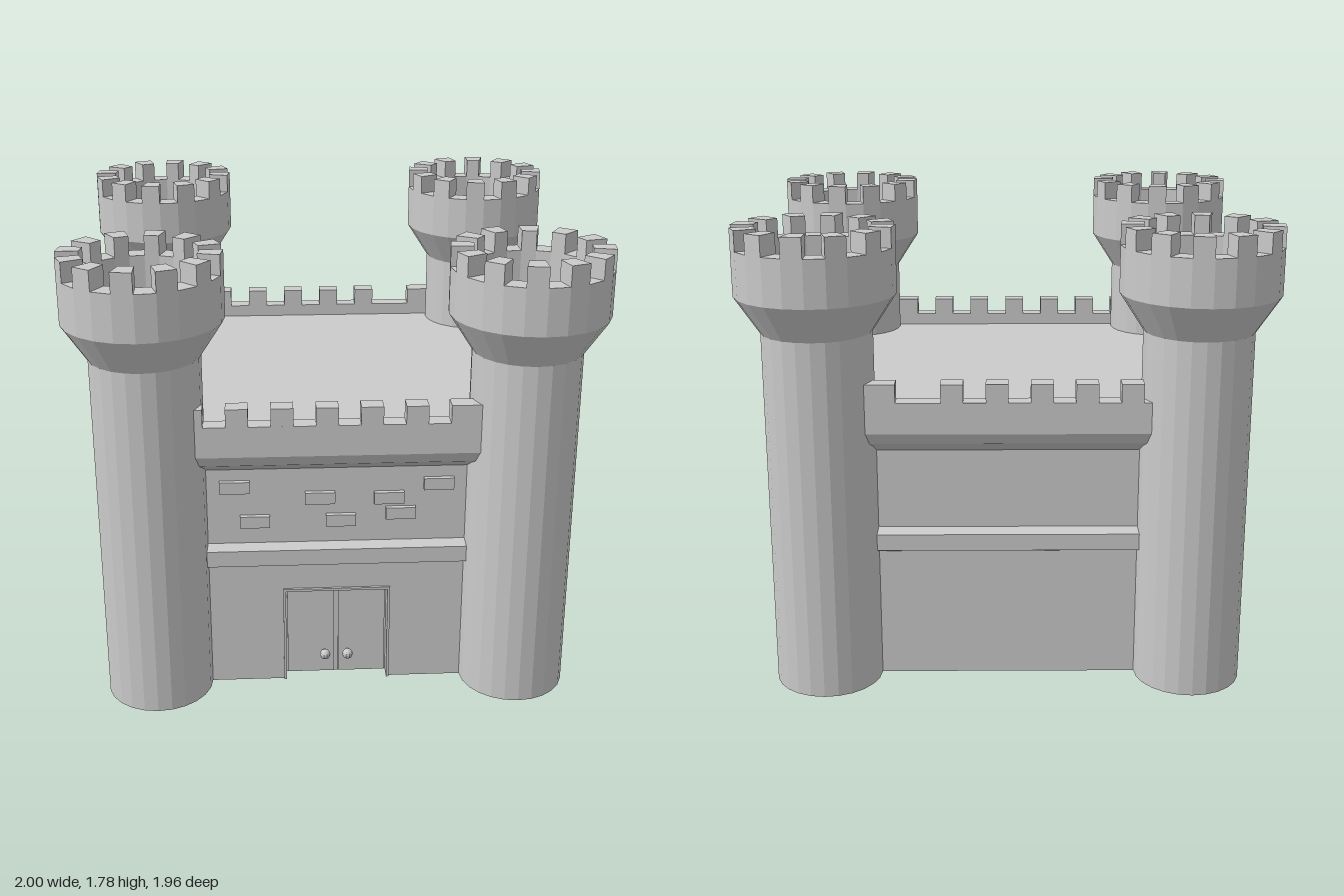
import * as THREE from 'three';

const mat = new THREE.MeshStandardMaterial({ color: 0xcccccc, flatShading: true, side: THREE.DoubleSide });
const HX = 0.715, HZ = 0.685;       // half size of the wall rectangle
const TX = 0.703, TZ = 0.685;       // tower centres
const SIDES = 24;                   // tower facets
const ROOF = 1.09;

function add(parent, name, geometry, x = 0, y = 0, z = 0) {
  const mesh = new THREE.Mesh(geometry, mat);
  mesh.name = name;
  mesh.position.set(x, y, z);
  parent.add(mesh);
  return mesh;
}

// Sweeps a profile of [outward offset, height] around the wall rectangle
function rectangularSweep(profile) {
  const corners = [[1, 1], [1, -1], [-1, -1], [-1, 1]];
  const point = (k, [o, y]) => {
    const [sx, sz] = corners[k % 4];
    return [sx * (HX + o), y, sz * (HZ + o)];
  };
  const pos = [];
  for (let j = 0; j < profile.length - 1; j++) {
    for (let k = 0; k < 4; k++) {
      const a = point(k, profile[j]), b = point(k + 1, profile[j]);
      const c = point(k + 1, profile[j + 1]), d = point(k, profile[j + 1]);
      pos.push(...a, ...b, ...c, ...a, ...c, ...d);
    }
  }
  const g = new THREE.BufferGeometry();
  g.setAttribute('position', new THREE.Float32BufferAttribute(pos, 3));
  g.computeVertexNormals();
  return g;
}

function polygon(points) {
  return new THREE.Shape(points.map(([x, y]) => new THREE.Vector2(x, y)));
}

function buildWalls(castle) {
  // Lower walls, the front one notched for the doorway
  const h = 0.515;
  const front = polygon([[-HX, 0], [-0.21, 0], [-0.21, 0.41], [0.21, 0.41], [0.21, 0], [HX, 0], [HX, h], [-HX, h]]);
  add(castle, 'frontWall', new THREE.ShapeGeometry(front), 0, 0, HZ);
  add(castle, 'backWall', new THREE.PlaneGeometry(2 * HX, h), 0, h / 2, -HZ).rotation.y = Math.PI;
  for (const s of [1, -1]) {
    add(castle, 'sideWall', new THREE.PlaneGeometry(2 * HZ, h), s * HX, h / 2, 0).rotation.y = s * Math.PI / 2;
  }
  // String course, upper walls and flared parapet
  add(castle, 'upperWallAndParapet', rectangularSweep([
    [0, 0.515], [0.035, 0.53], [0.035, 0.595], [0, 0.615], [0, 0.925],
    [0.08, 0.975], [0.107, 1.02], [0.107, 1.14], [0.037, 1.14], [0.037, ROOF],
  ]));
  add(castle, 'roof', new THREE.PlaneGeometry(2 * HX + 0.074, 2 * HZ + 0.074), 0, ROOF, 0).rotation.x = -Math.PI / 2;
}

function buildBattlements(castle) {
  const y = 1.175, height = 0.07, thick = 0.07, o = 0.072;
  const along = (x0, x1, z) => add(castle, 'wallMerlon',
    new THREE.BoxGeometry(x1 - x0, height, thick), (x0 + x1) / 2, y, z);
  const across = (z0, z1, x) => add(castle, 'wallMerlon',
    new THREE.BoxGeometry(thick, height, z1 - z0), x, y, (z0 + z1) / 2);
  const w = 0.083;
  for (let i = -5; i <= 3; i += 2) {
    along(i * w, (i + 1) * w, HZ + o);              // front
    along((i - 1) * w, i * w, -HZ - o);             // back, staggered
  }
  along(5 * w, 0.6, HZ + o);
  along(5 * w, 0.6, -HZ - o);
  along(-0.6, -6 * w, HZ + o);
  for (let i = -2; i <= 2; i++) across(i * 0.159 - 0.04, i * 0.159 + 0.04, HX + o);
  for (const c of [-0.24, -0.08, 0.08, 0.24]) across(c - 0.04, c + 0.04, -HX - o);
  for (const x of [HX + o, -HX - o]) {
    across(0.437, 0.6, x);
    across(-0.6, -0.437, x);
  }
}

function buildTower() {
  const tower = new THREE.Group();
  tower.name = 'tower';
  const R = 0.297, r = 0.213, floor = 1.58, notch = 1.705, top = 1.78;
  const profile = [[0.206, 0], [0.206, 1.39], [R, 1.53], [R, notch], [r, notch], [r, floor], [0.0, floor]];
  add(tower, 'towerShaft', new THREE.LatheGeometry(profile.map(p => new THREE.Vector2(...p)), SIDES));
  // Every second facet carries a merlon
  const step = 2 * Math.PI / SIDES;
  for (let i = 1; i < SIDES; i += 2) {
    const at = (radius, k) => [radius * Math.sin(k * step), -radius * Math.cos(k * step)];
    const g = new THREE.ExtrudeGeometry(
      polygon([at(r, i), at(R, i), at(R, i + 1), at(r, i + 1)]),
      { depth: top - notch, bevelEnabled: false });
    g.rotateX(-Math.PI / 2);
    add(tower, 'towerMerlon', g, 0, notch, 0);
  }
  return tower;
}

function buildDoor(castle) {
  const door = new THREE.Group();
  door.name = 'doorway';
  const frame = polygon([[-0.21, 0], [-0.2, 0], [-0.2, 0.4], [0.2, 0.4], [0.2, 0], [0.21, 0], [0.21, 0.41], [-0.21, 0.41]]);
  add(door, 'doorFrame', new THREE.ExtrudeGeometry(frame, { depth: 0.065, bevelEnabled: false }), 0, 0, HZ - 0.055);
  add(door, 'doorBack', new THREE.BoxGeometry(0.4, 0.4, 0.01), 0, 0.2, HZ - 0.055);
  for (const s of [1, -1]) {
    add(door, 'doorLeaf', new THREE.BoxGeometry(0.186, 0.386, 0.015), s * 0.101, 0.2, HZ - 0.045);
    const stem = new THREE.CylinderGeometry(0.009, 0.009, 0.03, 8).rotateX(Math.PI / 2);
    add(door, 'knobStem', stem, s * 0.045, 0.1, HZ - 0.028);
    add(door, 'doorKnob', new THREE.SphereGeometry(0.021, 10, 8), s * 0.045, 0.1, HZ - 0.01);
  }
  castle.add(door);
}

function buildBricks() {
  const bricks = new THREE.Group();
  bricks.name = 'raisedBricks';
  const spots = [[-0.39, 0.855], [-0.065, 0.805], [0.2, 0.8], [0.39, 0.855], [0.245, 0.735], [0.015, 0.71], [-0.315, 0.71]];
  for (const [x, y] of spots) add(bricks, 'brick', new THREE.BoxGeometry(0.115, 0.048, 0.04), x, y, 0);
  return bricks;
}

export function createModel() {
  const castle = new THREE.Group();
  castle.name = 'castle';
  buildWalls(castle);
  buildBattlements(castle);
  buildDoor(castle);

  // Bricks on the front wall and on one side wall
  const frontBricks = buildBricks();
  frontBricks.position.z = HZ;
  const sideBricks = buildBricks();
  sideBricks.rotation.y = -Math.PI / 2;
  sideBricks.position.x = -HX;
  castle.add(frontBricks, sideBricks);

  // Corner towers
  for (const sx of [1, -1]) for (const sz of [1, -1]) {
    const tower = buildTower();
    tower.position.set(sx * TX, 0, sz * TZ);
    castle.add(tower);
  }
  return castle;
}
